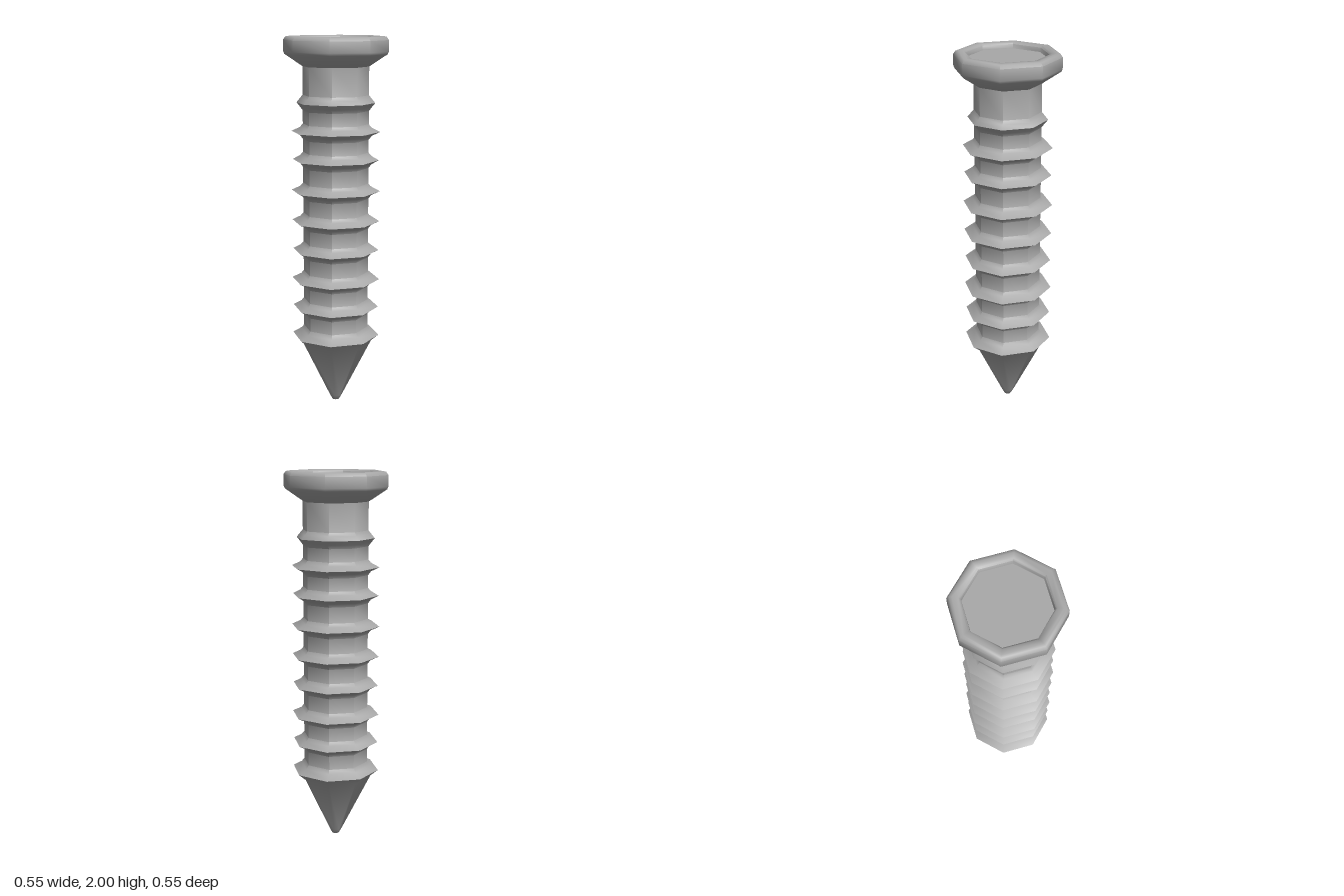
import * as THREE from 'three';
import { toCreasedNormals } from 'three/addons/utils/BufferGeometryUtils.js';

const steel = new THREE.MeshStandardMaterial({ color: 0xa8a8a8 });
steel.name = 'steel grey';

// Eight-sided turned part with softened sides, from [radius, height] points listed upwards
function turned(name, points) {
  const profile = points.map(([r, y]) => new THREE.Vector2(r, y));
  const geometry = toCreasedNormals(new THREE.LatheGeometry(profile, 8), 0.9);
  const mesh = new THREE.Mesh(geometry, steel);
  mesh.name = name;
  return mesh;
}

export function createModel() {
  const screw = new THREE.Group();
  screw.name = 'screw';

  // Blunt conical point, ending under the lowest thread
  screw.add(turned('tip', [[0, 0], [0.02, 0.008], [0.035, 0.035], [0.195, 0.355], [0.236, 0.39]]));

  // Shaft with ring-shaped threads: [height, radius]
  const threads = [
    [0.55, 0.232], [0.705, 0.237], [0.868, 0.232], [1.027, 0.235],
    [1.19, 0.237], [1.356, 0.23], [1.506, 0.235], [1.657, 0.208],
  ];
  const shaft = [[0.236, 0.39], [0.19, 0.415], [0.175, 0.435]];
  for (const [y, r] of threads) {
    shaft.push([0.175, y - 0.042], [0.19, y - 0.022], [r, y],
      [0.19, y + 0.022], [0.175, y + 0.04]);
  }
  shaft.push([0.175, 1.85]);
  screw.add(turned('threadedShaft', shaft));

  // Countersunk head with a bevelled rim and shallow recess
  screw.add(turned('head', [
    [0.175, 1.845], [0.19, 1.855], [0.27, 1.908], [0.276, 1.922],
    [0.276, 1.98], [0.264, 1.997], [0.25, 2], [0.222, 1.998], [0.213, 1.99],
    [0.209, 1.968], [0, 1.968],
  ]));

  return screw;
}
